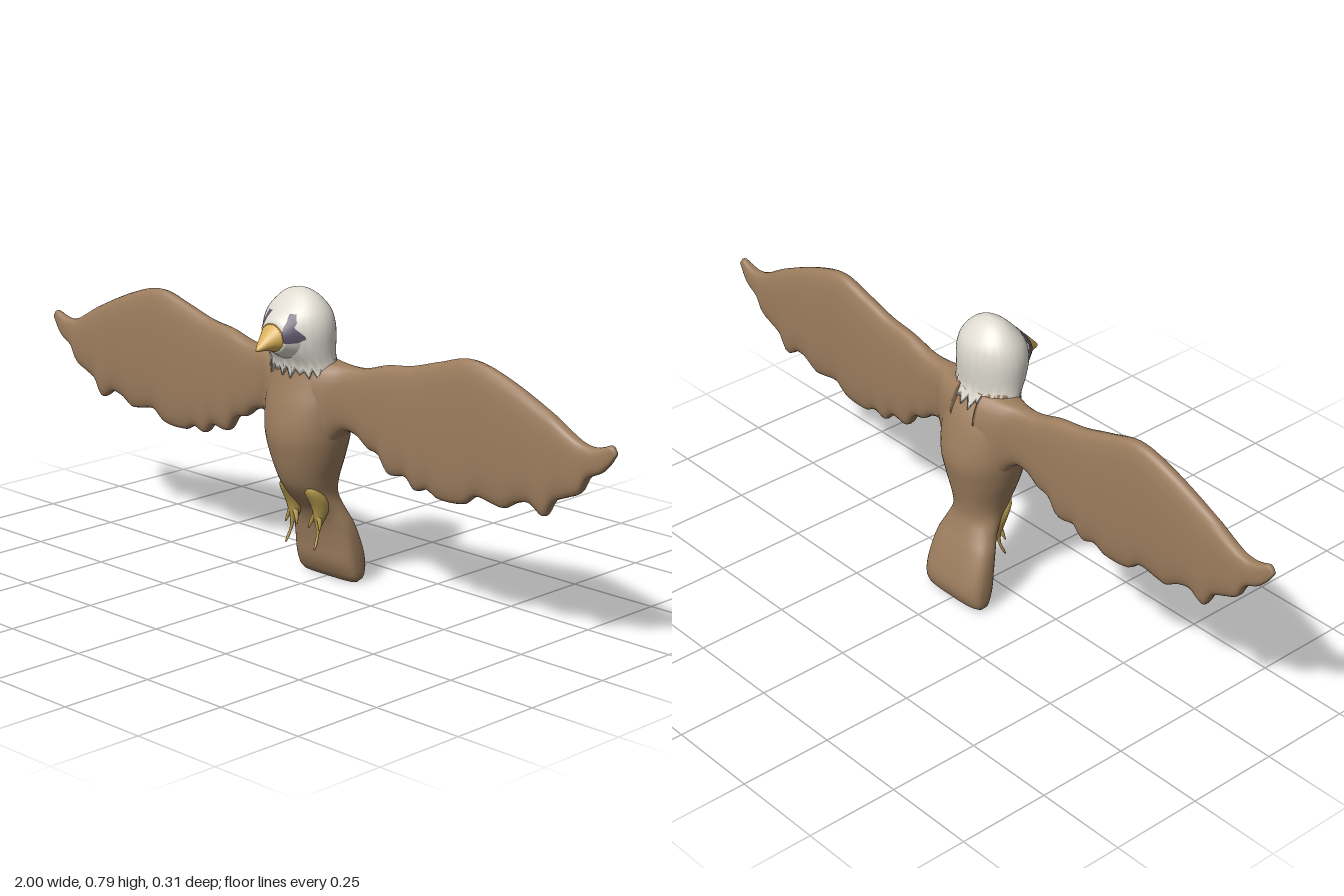
import * as THREE from 'three';

// Smooth interpolation of table rows keyed by their first column
function sample(rows, t) {
  let i = 0;
  while (i < rows.length - 2 && t > rows[i + 1][0]) i++;
  const a = rows[i], b = rows[i + 1], p = rows[i - 1] || a, q = rows[i + 2] || b;
  const h = b[0] - a[0], u = Math.min(1, Math.max(0, (t - a[0]) / h));
  return a.map((_, k) => {
    if (k === 0) return t;
    const m0 = (b[k] - p[k]) / (b[0] - p[0]) * h, m1 = (q[k] - a[k]) / (q[0] - a[0]) * h;
    const u2 = u * u, u3 = u2 * u;
    return (2 * u3 - 3 * u2 + 1) * a[k] + (u3 - 2 * u2 + u) * m0 + (3 * u2 - 2 * u3) * b[k] + (u3 - u2) * m1;
  });
}

// Skin a list of point rings; closed rings also get end caps
function loft(rings, { closed = true, flip = false } = {}) {
  const n = rings[0].length, pos = rings.flat(2), idx = [];
  const tri = (a, b, c) => idx.push(...(flip ? [a, c, b] : [a, b, c]));
  for (let i = 0; i < rings.length - 1; i++) {
    for (let j = 0; j < (closed ? n : n - 1); j++) {
      const a = i * n + j, b = i * n + (j + 1) % n;
      tri(a, a + n, b);
      tri(b, a + n, b + n);
    }
  }
  if (closed) {
    [0, rings.length - 1].forEach((r, end) => {
      const c = pos.length / 3;
      pos.push(...[0, 1, 2].map(k => rings[r].reduce((s, p) => s + p[k], 0) / n));
      for (let j = 0; j < n; j++) {
        const a = r * n + j, b = r * n + (j + 1) % n;
        if (end) tri(a, c, b); else tri(a, b, c);
      }
    });
  }
  const g = new THREE.BufferGeometry();
  g.setAttribute('position', new THREE.Float32BufferAttribute(pos, 3));
  g.setIndex(idx);
  g.computeVertexNormals();
  return g;
}

const range = (a, b, n) => Array.from({ length: n + 1 }, (_, i) => a + (b - a) * i / n);
const angles = n => range(0, Math.PI * 2, n).slice(0, n);
const power = (v, e) => Math.sign(v) * Math.abs(v) ** e;

// Height, front z, back z, half width, squareness exponent
const BODY = [
  [0, -0.098, -0.126, 0.092, 0.6], [0.012, -0.085, -0.143, 0.103, 0.6], [0.05, -0.066, -0.155, 0.106, 0.65],
  [0.1, -0.057, -0.146, 0.104, 0.7], [0.16, -0.042, -0.127, 0.096, 0.8], [0.2, -0.02, -0.112, 0.082, 0.9],
  [0.24, 0.018, -0.102, 0.073, 1], [0.28, 0.046, -0.105, 0.079, 1], [0.35, 0.069, -0.119, 0.102, 1],
  [0.41, 0.079, -0.129, 0.116, 1], [0.48, 0.07, -0.118, 0.121, 1], [0.54, 0.054, -0.099, 0.115, 1],
  [0.58, 0.045, -0.077, 0.104, 1], [0.62, 0.045, -0.069, 0.097, 1],
];
const HEAD = [
  [0.55, 0.054, -0.096, 0.114, 1], [0.58, 0.047, -0.079, 0.104, 1], [0.6, 0.053, -0.07, 0.1, 1],
  [0.63, 0.071, -0.072, 0.1, 1], [0.67, 0.083, -0.075, 0.102, 1], [0.7, 0.083, -0.074, 0.099, 1],
  [0.73, 0.072, -0.066, 0.088, 1], [0.76, 0.046, -0.044, 0.063, 1], [0.778, 0.024, -0.022, 0.035, 1],
  [0.785, 0.004, -0.004, 0.006, 1],
];
function bodyPoint(table, y, a, grow = 0) {
  const [, f, b, w, e] = sample(table, y);
  return [(w + grow) * power(Math.cos(a), e), y, (f + b) / 2 + ((f - b) / 2 + grow) * power(Math.sin(a), e)];
}

// Muzzle and beak along z: z, lower y, upper y, half width
const MUZZLE = [
  [0.02, 0.6, 0.762, 0.085], [0.06, 0.61, 0.742, 0.07], [0.08, 0.621, 0.727, 0.056], [0.1, 0.633, 0.706, 0.04],
  [0.125, 0.64, 0.681, 0.023], [0.145, 0.641, 0.66, 0.011], [0.156, 0.642, 0.648, 0.002],
];
const muzzleRing = z => {
  const [, lo, hi, w] = sample(MUZZLE, z);
  return angles(28).map(a => [w * Math.sin(a), (lo + hi) / 2 + (hi - lo) / 2 * Math.cos(a), z]);
};

// Outermost x of the head at a given height and depth
function faceX(y, z) {
  const [, f, b, w] = sample(HEAD, y), [, lo, hi, m] = sample(MUZZLE, z);
  const arc = (v, p, q, r) => r * Math.sqrt(Math.max(0, 1 - ((v - (p + q) / 2) / ((q - p) / 2)) ** 2));
  return Math.max(arc(z, b, f, w), arc(y, lo, hi, m));
}
// Height, back z, front z
const EYE = [
  [0.66, 0.075, 0.099], [0.67, 0.058, 0.103], [0.685, 0.066, 0.102], [0.698, 0.077, 0.096],
  [0.71, 0.069, 0.086], [0.722, 0.066, 0.077], [0.73, 0.062, 0.069],
];

// Wing outline: x, y
const WING_TOP = [
  [0.04, 0.61], [0.12, 0.602], [0.2, 0.604], [0.28, 0.626], [0.36, 0.638], [0.45, 0.664], [0.55, 0.689], [0.65, 0.668],
  [0.8, 0.605], [0.89, 0.556], [0.93, 0.546], [0.965, 0.553], [0.985, 0.561], [0.996, 0.556], [1, 0.547],
];
const WING_LOW = [
  [0.04, 0.36], [0.1, 0.385], [0.125, 0.42], [0.15, 0.434], [0.19, 0.424], [0.22, 0.402], [0.26, 0.39], [0.29, 0.35],
  [0.35, 0.353], [0.38, 0.326], [0.42, 0.336], [0.46, 0.32], [0.54, 0.325], [0.58, 0.352], [0.64, 0.345], [0.67, 0.343],
  [0.71, 0.365], [0.75, 0.372], [0.795, 0.35], [0.82, 0.39], [0.86, 0.41], [0.9, 0.43], [0.92, 0.467], [0.96, 0.49],
  [0.985, 0.515], [1, 0.538],
];
// Wing half thickness: x, half z
const WING_THICK = [
  [0.04, 0.075], [0.1, 0.056], [0.14, 0.037], [0.19, 0.03], [0.5, 0.03], [0.75, 0.028], [0.9, 0.021], [0.97, 0.014], [1, 0.006],
];

function wingGeometry(side) {
  const rings = range(0.04, 1, 128).map(x => {
    const hi = sample(WING_TOP, x)[1], lo = sample(WING_LOW, x)[1], t = sample(WING_THICK, x)[1];
    return angles(28).map(a => [
      side * x,
      (hi + lo) / 2 + (hi - lo) / 2 * power(Math.sin(a), 0.8),
      -0.026 + t * power(Math.cos(a), 0.65),
    ]);
  });
  return loft(rings, { flip: side < 0 });
}

// Round limb through centre points [y, x, z, radius], listed upward
const limb = (side, pts) => loft(range(pts[0][0], pts[pts.length - 1][0], 12).map(y => {
  const [, x, z, r] = sample(pts, y);
  return angles(10).map(a => [side * x + r * Math.cos(a), y, z + r * Math.sin(a)]);
}));

export function createModel() {
  const group = new THREE.Group();
  const paint = (name, color) => {
    const m = new THREE.MeshStandardMaterial({ color });
    m.name = name;
    return m;
  };
  const brown = paint('brown feathers', 0x9d7d5e);
  const white = paint('white feathers', 0xdfdbd1);
  const yellow = paint('beak yellow', 0xd6ae58);
  const olive = paint('leg yellow', 0xb5994d);
  const dark = paint('eye purple', 0x5f566a);
  const add = (name, geometry, material) => {
    const mesh = new THREE.Mesh(geometry, material);
    mesh.name = name;
    group.add(mesh);
  };

  // Body running down into the broad tail
  add('bodyAndTail', loft(range(0, 0.62, 62).map(y => angles(40).map(a => bodyPoint(BODY, y, a)))), brown);

  // Head with a ragged collar of feathers
  const headRings = range(0, 1, 30).map(v => angles(48).map((a, j) => {
    const start = 0.574 + [0.012, -0.012, 0.006, -0.004, 0.01, -0.016][j % 6];
    return bodyPoint(HEAD, start + (0.785 - start) * Math.sin(v * Math.PI / 2), a, 0.002 * (1 - v));
  }));
  add('head', loft(headRings), white);
  add('muzzle', loft(range(0.02, 0.1, 10).map(muzzleRing)), white);
  add('beak', loft(range(0.1, 0.156, 12).map(muzzleRing)), yellow);

  for (const side of [1, -1]) {
    const label = side > 0 ? 'left' : 'right';
    add(label + 'Wing', wingGeometry(side), brown);

    // Eye patch laid on the face
    const eye = range(0.66, 0.73, 14).map(y => {
      const [, b, f] = sample(EYE, y);
      return range(b, f, 8).map(z => [side * (faceX(y, z) + 0.003), y, z]);
    });
    add(label + 'Eye', loft(eye, { closed: false, flip: side < 0 }), dark);

    // Leg and toes
    add(label + 'Leg', limb(side, [
      [0.155, 0.044, -0.019, 0.006], [0.18, 0.045, -0.022, 0.015], [0.21, 0.047, -0.024, 0.024],
      [0.24, 0.046, -0.012, 0.027], [0.262, 0.044, 0.004, 0.022], [0.278, 0.042, 0.014, 0.008],
    ]), olive);
    add(label + 'LongToe', limb(side, [
      [0.103, 0.052, 0.003, 0.002], [0.115, 0.051, -0.003, 0.004], [0.14, 0.048, -0.013, 0.004], [0.175, 0.046, -0.019, 0.009],
    ]), olive);
    for (const x of [0.022, 0.062]) {
      add(label + 'ShortToe', limb(side, [
        [0.155, x, -0.006, 0.002], [0.175, x * 0.7 + 0.013, -0.012, 0.006], [0.205, 0.045, -0.018, 0.009],
      ]), olive);
    }
  }
  return group;
}
